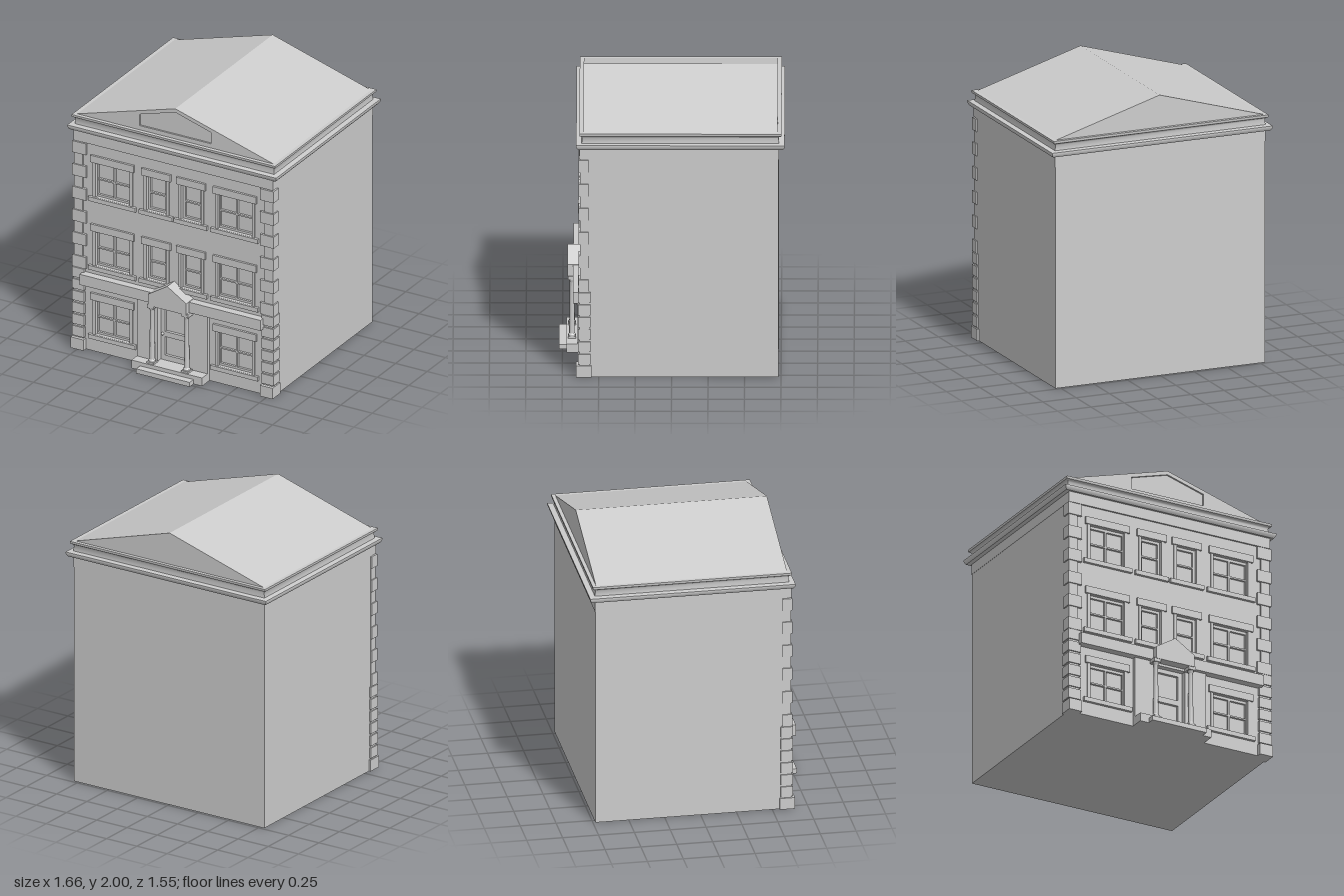
import * as THREE from 'three';
import { toCreasedNormals } from 'three/addons/utils/BufferGeometryUtils.js';

export function createModel() {
  const house = new THREE.Group();
  house.name = 'townhouse';
  const stone = new THREE.MeshStandardMaterial({ color: 0xcccccc });
  stone.name = 'pale grey stone';

  const add = (name, geometry, parent = house) => {
    const mesh = new THREE.Mesh(geometry, stone);
    mesh.name = name;
    parent.add(mesh);
    return mesh;
  };
  // Box given by its limits on each axis
  const box = (name, x0, x1, y0, y1, z0, z1, parent) => {
    const g = new THREE.BoxGeometry(x1 - x0, y1 - y0, z1 - z0);
    g.translate((x0 + x1) / 2, (y0 + y1) / 2, (z0 + z1) / 2);
    return add(name, g, parent);
  };
  const outline = (points) => new THREE.Shape(points.map(([x, y]) => new THREE.Vector2(x, y)));
  const rect = (x0, x1, y0, y1) => outline([[x0, y0], [x1, y0], [x1, y1], [x0, y1]]);
  // Flat plate between z0 and z1 with optional holes
  const plate = (name, shape, holes, z0, z1, parent) => {
    shape.holes.push(...holes);
    const g = new THREE.ExtrudeGeometry(shape, { depth: z1 - z0, bevelEnabled: false });
    g.translate(0, 0, z0);
    return add(name, g, parent);
  };

  // Window positions: centre, sill top, half width of opening
  const windows = [];
  for (const y of [0.13, 0.656, 1.18]) {
    for (const s of [-1, 1]) {
      windows.push({ x: s * 0.485, y, w: 0.135, columns: 2 });
      if (y > 0.5) windows.push({ x: s * 0.138, y, w: 0.078, columns: 1 });
    }
  }

  // Main body and pierced front wall
  box('body', -0.787, 0.787, 0, 1.58, -0.733, 0.585);
  const doorway = rect(-0.115, 0.115, 0.06, 0.49);
  plate('frontWall', rect(-0.785, 0.785, 0, 1.58),
    [...windows.map((o) => rect(o.x - o.w, o.x + o.w, o.y, o.y + 0.264)), doorway], 0.58, 0.62);
  box('frieze', -0.789, 0.789, 1.58, 1.665, -0.736, 0.633);

  // Windows
  for (const o of windows) {
    const win = new THREE.Group();
    win.name = 'window';
    win.position.set(o.x, o.y, 0);
    house.add(win);
    const panes = [];
    for (let c = 0; c < o.columns; c++) {
      const span = o.columns === 2 ? 0.122 : 0.12;
      const cx = o.columns === 2 ? (c - 0.5) * 0.136 : 0;
      for (const [y0, y1] of [[0.016, 0.126], [0.137, 0.245]]) {
        panes.push(rect(cx - span / 2, cx + span / 2, y0, y1));
      }
    }
    plate('sash', rect(-o.w, o.w, 0, 0.264), panes, 0.584, 0.602, win);
    plate('architrave', rect(-o.w - 0.022, o.w + 0.022, 0, 0.266),
      [rect(-o.w, o.w, 0.001, 0.262)], 0.61, 0.628, win);
    box('lintel', -o.w - 0.037, o.w + 0.037, 0.264, 0.317, 0.61, 0.636, win);
    box('sill', -o.w - 0.053, o.w + 0.053, -0.032, 0, 0.61, 0.641, win);
  }

  // Corner stones, mirrored
  for (const s of [-1, 1]) {
    const corner = new THREE.Group();
    corner.name = s > 0 ? 'leftCorner' : 'rightCorner';
    house.add(corner);
    const block = (name, inner, outer, y0, y1, z0, z1) =>
      box(name, Math.min(s * inner, s * outer), Math.max(s * inner, s * outer), y0, y1, z0, z1, corner);
    for (let i = 0; i < 11; i++) {
      const y = 0.62 + i * 0.0868;
      if (i % 2) block('shortQuoin', 0.72, 0.789, y, y + 0.0868, 0.57, 0.629);
      else block('longQuoin', 0.69, 0.798, y, y + 0.0868, 0.57, 0.638);
    }
    block('cornerPlinth', 0.7, 0.8, 0, 0.083, 0.55, 0.656);
    block('cornerCore', 0.71, 0.79, 0.08, 0.62, 0.565, 0.632);
    for (let i = 0; i < 6; i++) {
      block('rusticBlock', 0.703, 0.799, 0.094 + i * 0.0895, 0.168 + i * 0.0895, 0.557, 0.642);
    }
  }

  // Ground floor band and entrance bay
  box('stringCourse', -0.717, 0.717, 0.51, 0.59, 0.6, 0.677);
  plate('entranceBay', rect(-0.28, 0.28, 0, 0.51),
    [rect(-0.115, 0.115, 0.06, 0.49)], 0.61, 0.648);
  box('entranceLanding', -0.28, 0.28, 0, 0.062, 0.6, 0.722);
  box('entranceStep', -0.212, 0.212, 0, 0.034, 0.7, 0.775);

  // Door with recessed panels and knob
  plate('door', rect(-0.113, 0.113, 0.06, 0.49),
    [rect(-0.08, 0.08, 0.1, 0.24), rect(-0.08, 0.08, 0.28, 0.46)], 0.584, 0.606);
  const knob = add('doorKnob', new THREE.SphereGeometry(0.011, 12, 8));
  knob.position.set(-0.097, 0.262, 0.614);

  // Columns beside the door
  const columnProfile = [[0, 0.062], [0.024, 0.062], [0.025, 0.085], [0.019, 0.095], [0.019, 0.11],
    [0.015, 0.465], [0.02, 0.475], [0.022, 0.49], [0, 0.49]].map(([r, y]) => new THREE.Vector2(r, y));
  for (const x of [-0.137, 0.137]) {
    const column = add('column', toCreasedNormals(new THREE.LatheGeometry(columnProfile, 20), 0.5));
    column.position.set(x, 0, 0.685);
    box('columnBase', x - 0.028, x + 0.028, 0.06, 0.075, 0.657, 0.713);
    box('columnCapital', x - 0.027, x + 0.027, 0.485, 0.512, 0.64, 0.712);
  }
  plate('doorPediment', outline([[-0.151, 0.507], [0.151, 0.507], [0.151, 0.594],
    [0, 0.69], [-0.151, 0.594]]), [], 0.61, 0.716);

  // Cornice: moulding profile of outward offset and height swept round a rectangle
  const profile = [[-0.03, 1.655], [0.012, 1.655], [0.03, 1.66], [0.038, 1.672], [0.042, 1.684],
    [0.042, 1.694], [0.004, 1.698], [0, 1.735], [0.006, 1.746], [0.018, 1.752], [0.02, 1.758],
    [0.02, 1.77], [-0.1, 1.77]];
  const corners = [[-1, 1], [1, 1], [1, -1], [-1, -1]];
  const positions = [];
  const at = (k, i) => {
    const [d, y] = profile[k];
    const [sx, sz] = corners[i % 4];
    return [sx * (0.786 + d), y, -0.06 + sz * (0.673 + d)];
  };
  for (let k = 0; k < profile.length - 1; k++) {
    for (let i = 0; i < 4; i++) {
      const a = at(k, i), b = at(k, i + 1), c = at(k + 1, i + 1), d = at(k + 1, i);
      positions.push(...a, ...b, ...c, ...a, ...c, ...d);
    }
  }
  const cornice = new THREE.BufferGeometry();
  cornice.setAttribute('position', new THREE.Float32BufferAttribute(positions, 3));
  add('cornice', toCreasedNormals(cornice, 0.7));

  // Gabled roof with a recessed panel in the front pediment
  const gable = () => outline([[-0.785, 1.768], [0.785, 1.768], [0, 2]]);
  plate('roof', gable(), [], -0.727, 0.592);
  plate('frontPediment', gable(), [outline([[-0.283, 1.802], [0.283, 1.802], [0.283, 1.888],
    [0, 1.972], [-0.283, 1.888]])], 0.592, 0.605);

  return house;
}
